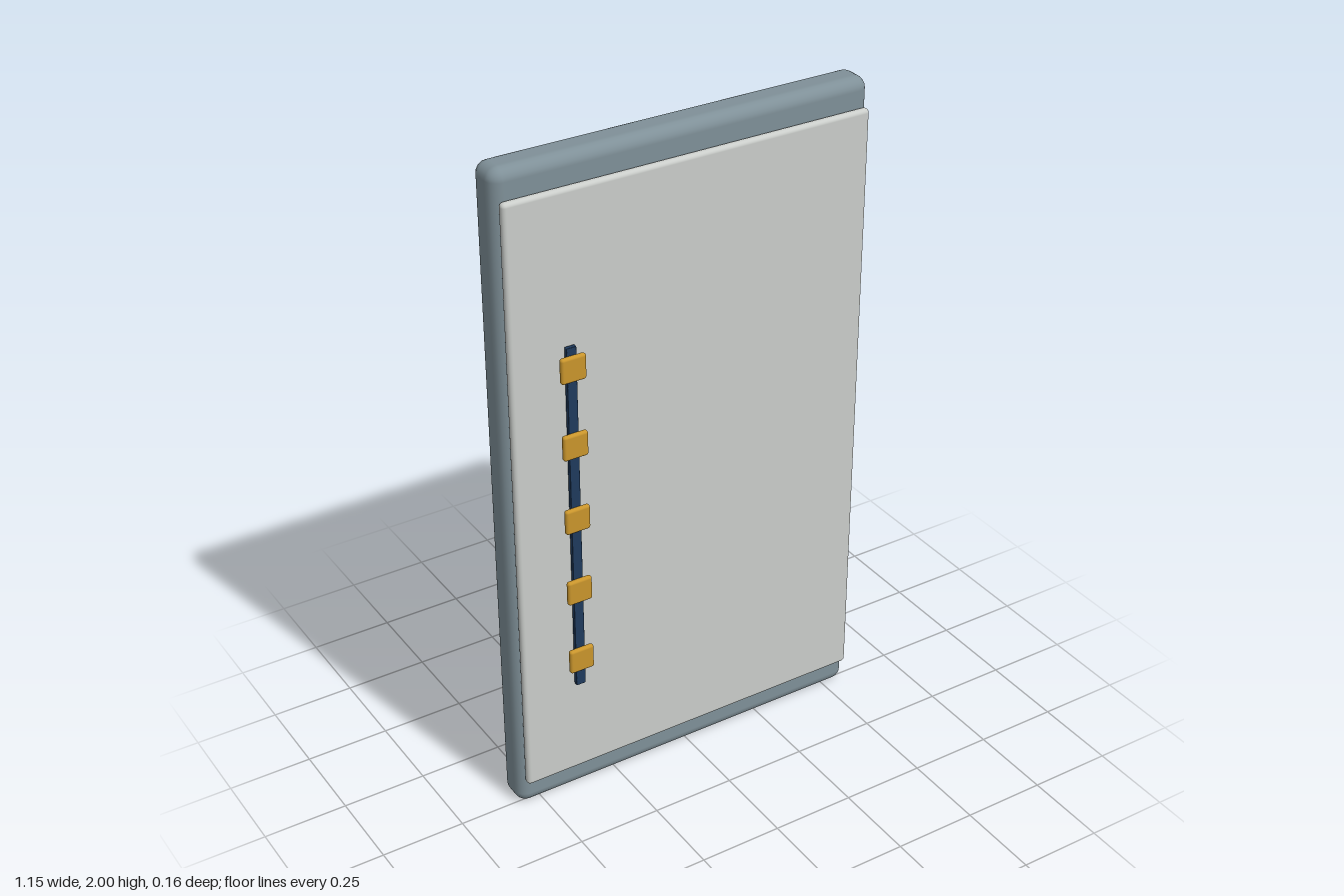
import * as THREE from 'three';
import { RoundedBoxGeometry } from 'three/addons/geometries/RoundedBoxGeometry.js';

const material = (name, color) => {
  const m = new THREE.MeshStandardMaterial({ color });
  m.name = name;
  return m;
};

export function createModel() {
  const model = new THREE.Group();
  model.name = 'panelledSlab';

  const slate = material('slate grey', 0x7f9098);
  const pale = material('pale grey', 0xcacdca);
  const navy = material('navy', 0x1f3a5c);
  const gold = material('gold', 0xc9952c);

  // Rounded block given by its lower and upper corners
  const block = (name, mat, min, max, radius, segments = 3) => {
    const size = max.map((v, i) => v - min[i]);
    const mesh = new THREE.Mesh(new RoundedBoxGeometry(...size, segments, radius), mat);
    mesh.position.set(...max.map((v, i) => (v + min[i]) / 2));
    mesh.name = name;
    model.add(mesh);
  };

  // Thick backing slab with a thin raised panel on its front
  block('slab', slate, [-0.573, 0, -0.081], [0.573, 2, 0.025], 0.035);
  block('frontPanel', pale, [-0.558, 0.088, 0.025], [0.558, 1.92, 0.051], 0.012);

  // Slim vertical rail
  block('rail', navy, [-0.4, 0.395, 0.055], [-0.37, 1.48, 0.068], 0.002, 1);

  // Five square studs spaced evenly along the rail
  for (let i = 0; i < 5; i++) {
    const y = 0.488 + i * 0.233;
    block(`stud${i + 1}`, gold, [-0.423, y - 0.038, 0.064], [-0.347, y + 0.038, 0.081], 0.008);
  }
  return model;
}
